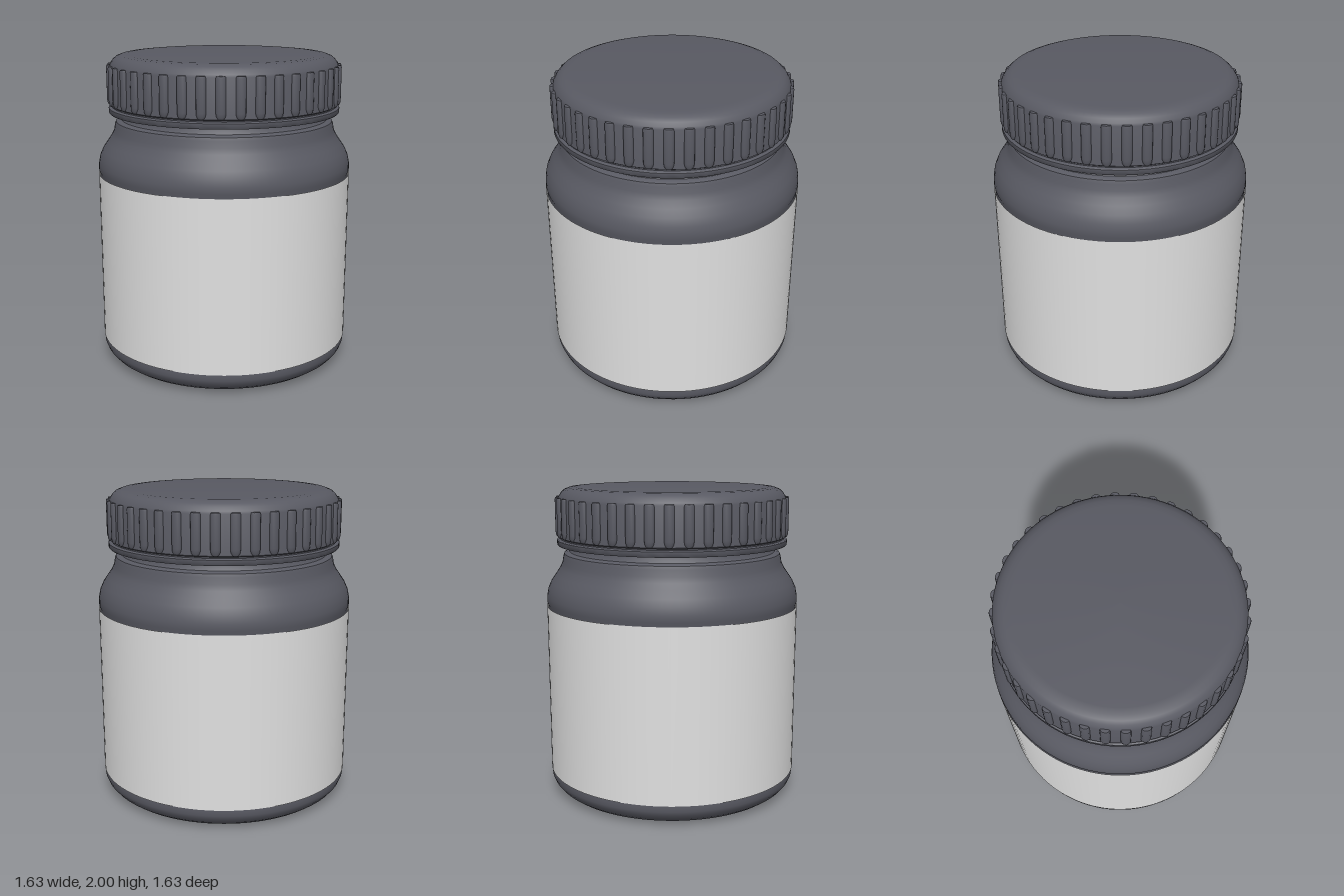
import * as THREE from 'three';
import { toCreasedNormals } from 'three/addons/utils/BufferGeometryUtils.js';

const SEGMENTS = 96;
const RIBS = 40;

// Revolve a profile of [radius, height] pairs, keeping hard edges crisp
function revolve(points, segments = SEGMENTS) {
  const profile = points.map(([r, y]) => new THREE.Vector2(r, y));
  return toCreasedNormals(new THREE.LatheGeometry(profile, segments), 0.7);
}

export function createModel() {
  const dark = new THREE.MeshStandardMaterial({ name: 'charcoal plastic', color: 0x585962 });
  const paper = new THREE.MeshStandardMaterial({ name: 'pale label', color: 0xe0e0e0, side: THREE.DoubleSide });

  const model = new THREE.Group();
  model.name = 'jar';
  const add = (name, geometry, material, parent = model) => {
    const mesh = new THREE.Mesh(geometry, material);
    mesh.name = name;
    parent.add(mesh);
    return mesh;
  };

  // Jar body: rounded foot, straight wall, curved shoulder and neck
  add('body', revolve([
    [0, 0], [0.66, 0], [0.7, 0.005], [0.74, 0.02], [0.775, 0.045], [0.8, 0.075], [0.812, 0.105],
    [0.81, 0.13], [0.81, 1.25], [0.816, 1.27], [0.815, 1.31], [0.806, 1.355], [0.786, 1.4],
    [0.755, 1.445], [0.728, 1.485], [0.712, 1.52], [0.705, 1.56], [0.698, 1.58], [0.68, 1.59],
    [0.665, 1.592], [0.655, 1.605], [0.65, 1.67], [0, 1.67],
  ]), dark);

  // Label wrapped round the wall
  const label = add('label', new THREE.CylinderGeometry(0.817, 0.817, 1.1, SEGMENTS, 1, true), paper);
  label.position.y = 0.695;

  // Screw lid: underside, tamper band, groove, wall and rounded top
  const lid = new THREE.Group();
  lid.name = 'lid';
  model.add(lid);
  add('lidShell', revolve([
    [0.64, 1.65], [0.66, 1.635], [0.738, 1.635], [0.742, 1.64], [0.742, 1.668], [0.738, 1.672],
    [0.722, 1.675], [0.722, 1.682], [0.735, 1.69], [0.735, 1.7], [0.731, 1.72], [0.731, 1.93],
    [0.725, 1.945], [0.71, 1.967], [0.69, 1.985], [0.66, 1.996], [0.62, 2], [0, 2],
  ]), dark, lid);

  // Grip ribs: slim, flat topped, rounded at the bottom
  const ribGeometry = revolve([
    [0, 1.685], [0.018, 1.69], [0.027, 1.705], [0.03, 1.725], [0.03, 1.925], [0.026, 1.937], [0, 1.938],
  ], 12);
  ribGeometry.scale(1, 1, 0.65);
  for (let i = 0; i < RIBS; i++) {
    const angle = (i / RIBS) * Math.PI * 2;
    const rib = add('gripRib', ribGeometry, dark, lid);
    rib.position.set(Math.sin(angle) * 0.731, 0, Math.cos(angle) * 0.731);
    rib.rotation.y = angle;
  }

  return model;
}
